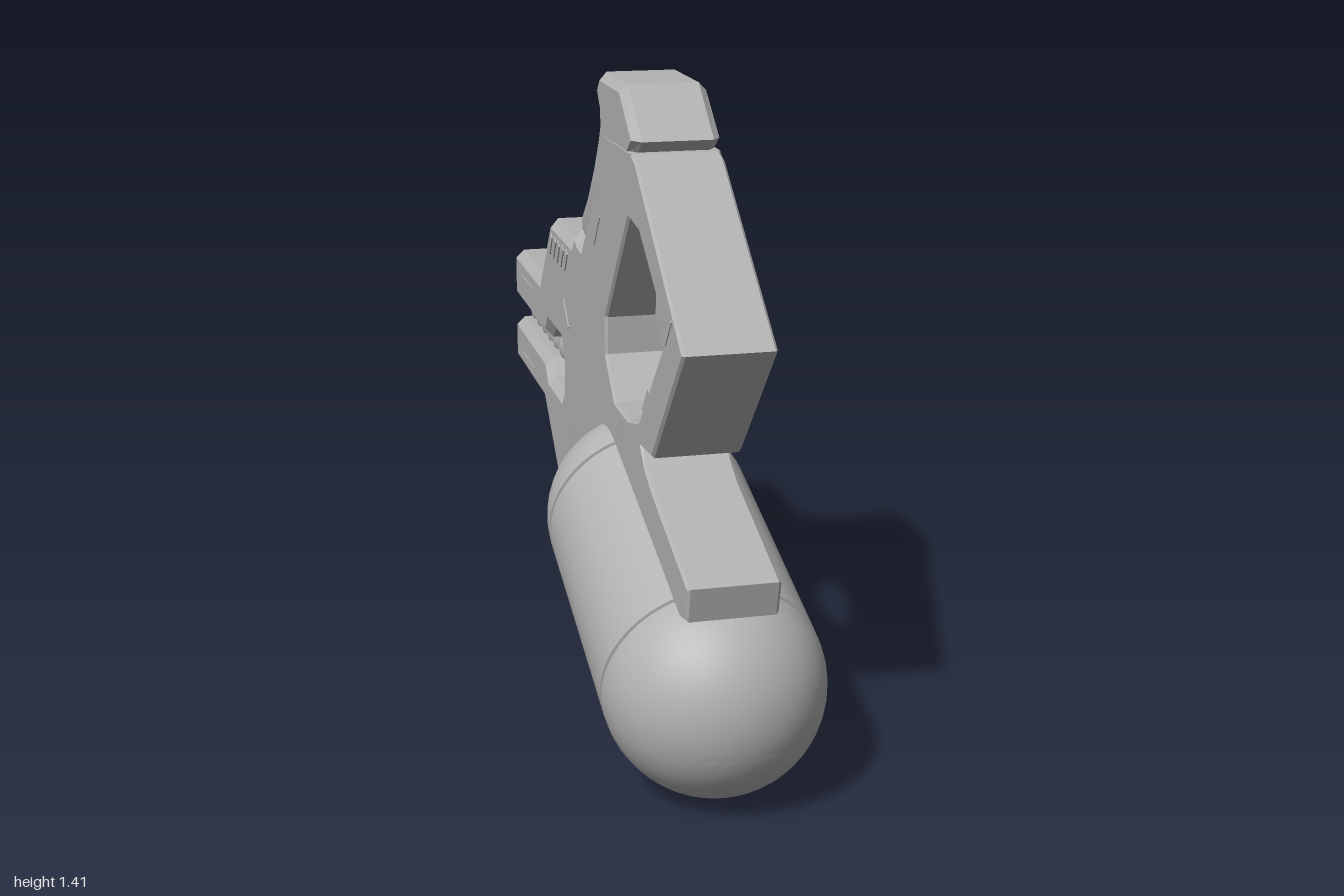
import * as THREE from 'three';
import { toCreasedNormals } from 'three/addons/utils/BufferGeometryUtils.js';

const S = 186.6;
// drafting units of the side profile -> (z, y)
const Z = (u) => (686.5 - u) / S;
const Y = (v) => (356 - v) / S;
const P = ([u, v]) => new THREE.Vector2(Z(u), Y(v));

// side profile extruded across the width, bevelled inward
function slab(pts, half, bevel, holes = [], segs = 1) {
  const shape = new THREE.Shape(pts.map(P));
  holes.forEach((h) => shape.holes.push(new THREE.Path(h.map(P))));
  const depth = 2 * (half - bevel);
  const g = new THREE.ExtrudeGeometry(shape, {
    depth, steps: 1, curveSegments: 6, bevelEnabled: bevel > 0,
    bevelThickness: bevel, bevelSize: bevel, bevelOffset: -bevel, bevelSegments: segs,
  });
  g.translate(0, 0, -depth / 2);
  g.rotateY(-Math.PI / 2);
  return g;
}

export function createModel() {
  const model = new THREE.Group();
  const grey = new THREE.MeshStandardMaterial({ color: 0xb2b2b2 });
  grey.name = 'plain grey';
  const add = (name, geo) => {
    const m = new THREE.Mesh(geo, grey);
    m.name = name;
    model.add(m);
    return m;
  };

  // receiver with the two barrel rails and the window between them
  const receiver = slab([
    [645, 112], [662, 112], [670, 128], [686, 152], [706, 174], [714, 173], [720, 170],
    [727, 177], [778, 177], [807, 213], [873, 213], [873, 239], [792, 239], [784, 231],
    [753, 231], [748, 236], [748, 252], [753, 257], [784, 257], [792, 249], [873, 249],
    [873, 273], [797, 273], [764, 301], [735, 300], [722, 309], [700, 309], [688, 300],
    [640, 292], [668, 230], [668, 190],
  ], 0.095, 0.022);
  const rp = receiver.attributes.position;
  for (let i = 0; i < rp.count; i++) if (rp.getZ(i) < -0.95) rp.setZ(i, -1); // flat muzzle
  receiver.computeVertexNormals();
  add('receiver', receiver);

  // front frame with the finger opening and the tank neck
  add('frame', slab([
    [606, 117], [600, 119], [525, 176], [571, 229], [590, 230], [582, 237], [572, 242], [515, 261],
    [518, 275], [600, 290], [655, 272], [680, 240], [688, 182], [656, 117],
  ], 0.096, 0.006, [[
    [555, 181], [567, 172], [566, 163], [593, 145], [612, 143], [654, 194],
    [654, 210], [637, 226], [612, 226], [593, 221],
  ]]));

  // narrow toothed trigger inside the opening
  add('trigger', slab([
    [549, 182], [568, 175], [574, 180], [577, 187], [583, 188], [584, 195], [591, 197],
    [592, 204], [599, 206], [600, 213], [606, 219], [614, 214], [623, 225], [630, 230], [588, 226],
  ], 0.05, 0));

  // angular cap on top
  add('topCap', slab([
    [603, 112], [627, 93], [666, 93], [674, 101], [667, 109], [665, 122], [616, 122],
  ], 0.095, 0.018));

  // rounded concave hand grip at the rear
  add('handGrip', toCreasedNormals(slab([
    [652, 116], [670, 110], [675, 112], [680, 122], [689, 135], [702, 150], [717, 163],
    [714, 171], [707, 173], [690, 172],
  ], 0.084, 0.026, [], 5), 0.7));

  // capsule tank with a groove at each dome seam
  const r = 0.235;
  const front = new THREE.Vector3(0, 0.236, 0.766);
  const back = new THREE.Vector3(0, 0.402, 0.203);
  const h = front.distanceTo(back) / 2;
  const prof = [];
  for (let i = 0; i <= 16; i++) {
    const a = (i / 16 - 1) * Math.PI / 2;
    prof.push(new THREE.Vector2(Math.max(0, r * Math.cos(a)), -h + r * Math.sin(a)));
  }
  for (const s of [-1, 1]) {
    const c = s * (h - 0.012);
    for (const [d, q] of [[-0.006, r], [-0.004, r - 0.006], [0.004, r - 0.006], [0.006, r]])
      prof.push(new THREE.Vector2(q, c + d));
  }
  for (let i = 0; i <= 16; i++) {
    const a = i / 16 * Math.PI / 2;
    prof.push(new THREE.Vector2(Math.max(0, r * Math.cos(a)), h + r * Math.sin(a)));
  }
  const tank = add('tank', toCreasedNormals(new THREE.LatheGeometry(prof, 48), 0.5));
  tank.position.copy(front).add(back).multiplyScalar(0.5);
  tank.quaternion.setFromUnitVectors(new THREE.Vector3(0, 1, 0), back.clone().sub(front).normalize());

  // rings in the slot between the rails
  for (let i = 0; i < 6; i++) {
    const ring = add('barrelRing', new THREE.TorusGeometry(0.042, 0.018, 8, 20));
    ring.position.set(0, 0.6, -0.565 - i * 0.081);
  }

  // ribbed needle in the window
  const needle = [[0, -0.02], [0.05, -0.02], [0.05, 0.02], [0.03, 0.045], [0.013, 0.05]];
  for (let i = 0; i < 5; i++) {
    const t = 0.06 + i * 0.018;
    needle.push([0.013, t], [0.024, t + 0.003], [0.024, t + 0.009], [0.013, t + 0.012]);
  }
  needle.push([0.013, 0.17], [0, 0.19]);
  const ng = new THREE.LatheGeometry(needle.map(([a, b]) => new THREE.Vector2(a, b)), 16);
  ng.rotateX(-Math.PI / 2);
  add('needle', toCreasedNormals(ng, 0.5)).position.set(0, 0.6, -0.335);

  // stepped pads under the lower rail
  for (const [a, b] of [[800, 826], [831, 842], [847, 856], [860, 873]]) {
    const pad = add('railPad', new THREE.BoxGeometry(0.14, 0.03, (b - a) / S));
    pad.position.set(0, Y(275) + 0.015, Z((a + b) / 2));
  }

  // thin surface strips on both sides: [u1, v1, u2, v2, width]
  const strips = [
    [664, 153, 675, 167, 1.2], [733, 219, 745, 208, 1.2], [824, 223, 856, 223, 1.6],
    [824, 264, 856, 264, 1.6], [726, 260, 726, 278, 1.2], [624, 228, 624, 242, 1.2],
    [541, 167, 550, 178, 1.2], [608, 118, 636, 118, 1.6],
  ];
  for (let i = 0; i < 5; i++) strips.push([736 + i * 9, 184, 742 + i * 9, 193, 4]); // vents
  for (const side of [-1, 1]) {
    for (const [a, b, c, d, w] of strips) {
      const len = Math.hypot(c - a, d - b) / S;
      const m = add('surfaceStrip', new THREE.BoxGeometry(0.006, w / S, len));
      m.position.set(side * 0.095, Y((b + d) / 2), Z((a + c) / 2));
      m.rotation.x = Math.atan2(d - b, -(c - a)) * 1;
    }
    const boss = add('pinRing', new THREE.TorusGeometry(0.022, 0.005, 6, 20));
    boss.rotation.y = Math.PI / 2;
    boss.position.set(side * 0.095, Y(277), Z(717));
  }
  return model;
}
